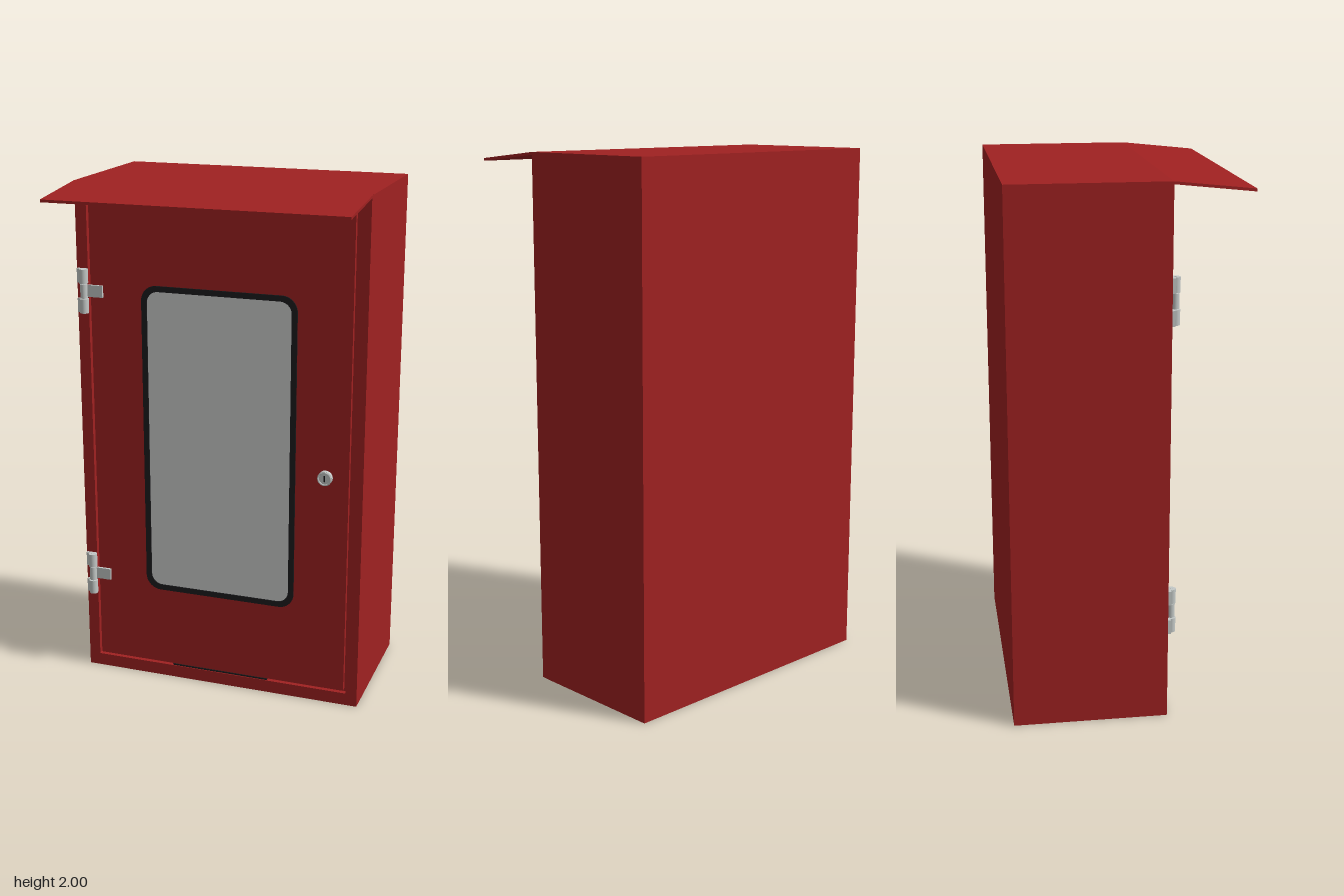
import * as THREE from 'three';

const material = (name, color) => {
  const m = new THREE.MeshStandardMaterial({ color });
  m.name = name;
  return m;
};

function roundedRect(target, x0, y0, x1, y1, r) {
  target.moveTo(x0 + r, y0);
  target.lineTo(x1 - r, y0);
  target.absarc(x1 - r, y0 + r, r, -Math.PI / 2, 0);
  target.lineTo(x1, y1 - r);
  target.absarc(x1 - r, y1 - r, r, 0, Math.PI / 2);
  target.lineTo(x0 + r, y1);
  target.absarc(x0 + r, y1 - r, r, Math.PI / 2, Math.PI);
  target.lineTo(x0, y0 + r);
  target.absarc(x0 + r, y0 + r, r, Math.PI, Math.PI * 1.5);
  return target;
}

// Flat panel from z0 to z1; each rectangle is [x0, y0, x1, y1, radius]
function panel(outer, hole, z0, z1) {
  const shape = roundedRect(new THREE.Shape(), ...outer);
  if (hole) shape.holes.push(roundedRect(new THREE.Path(), ...hole));
  const geo = new THREE.ExtrudeGeometry(shape, { depth: z1 - z0, bevelEnabled: false, curveSegments: 8 });
  return geo.translate(0, 0, z0);
}

function box(x0, x1, y0, y1, z0, z1) {
  return new THREE.BoxGeometry(x1 - x0, y1 - y0, z1 - z0)
    .translate((x0 + x1) / 2, (y0 + y1) / 2, (z0 + z1) / 2);
}

export function createModel() {
  const red = material('red paint', 0xa02121);
  const black = material('black rubber', 0x1c1c1e);
  const glass = material('grey glass', 0xcfd1d0);
  const steel = material('steel', 0xc4c9c7);

  const model = new THREE.Group();
  model.name = 'cabinet';
  const add = (name, geo, mat, parent = model) => {
    const mesh = new THREE.Mesh(geo, mat);
    mesh.name = name;
    parent.add(mesh);
    return mesh;
  };

  const W = 0.57, back = -0.43, front = 0.145, inner = 0.125;

  // Housing with a front frame around the door
  add('housing', box(-W, W, 0, 2, back, inner), red);
  add('frontFrame', panel([-W, 0, W, 2, 0.001], [-0.525, 0.05, 0.525, 1.955, 0.003], inner, front), red);

  // Sloping rain canopy, profile drawn in z and y
  const profile = new THREE.Shape([
    [front, 2], [front, 1.99], [0.43, 1.96], [0.43, 1.97],
  ].map(([z, y]) => new THREE.Vector2(z, y)));
  const canopy = new THREE.ExtrudeGeometry(profile, { depth: 2 * W, bevelEnabled: false });
  canopy.translate(0, 0, -W).rotateY(-Math.PI / 2);
  add('canopy', canopy, red);

  // Door, separated from the frame by a narrow gap
  const opening = [-0.285, 0.405, 0.285, 1.6, 0.045];
  add('door', panel([-0.515, 0.06, 0.515, 1.945, 0.003], opening, inner, front), red);
  add('windowGlass', panel(opening, null, front - 0.004, front + 0.001), glass);
  add('windowSeal', panel([-0.307, 0.383, 0.307, 1.622, 0.06], opening, front, front + 0.005), black);
  add('drainSlot', box(-0.2, 0.2, 0.052, 0.058, inner, front), black);

  // Hinges on the door's -x edge
  for (const [name, y] of [['upperHinge', 1.585], ['lowerHinge', 0.418]]) {
    const hinge = new THREE.Group();
    hinge.name = name;
    hinge.position.set(-0.537, y, front);
    model.add(hinge);
    for (const s of [-1, 1]) {
      const lo = s < 0 ? -0.085 : 0.03;
      add('frameLeaf', box(-0.029, 0.012, lo, lo + 0.055, 0, 0.012), steel, hinge);
      add('outerKnuckle', new THREE.CylinderGeometry(0.017, 0.017, 0.055, 16)
        .translate(0, lo + 0.0275, 0.016), steel, hinge);
    }
    add('middleKnuckle', new THREE.CylinderGeometry(0.014, 0.014, 0.054, 16)
      .translate(0, 0, 0.016), steel, hinge);
    add('doorLeaf', box(0, 0.073, -0.023, 0.023, 0, 0.01), steel, hinge);
    add('hingePin', new THREE.CylinderGeometry(0.006, 0.006, 0.172, 12)
      .translate(0, 0, 0.016), steel, hinge);
  }

  // Round lock with a key slot
  const lock = new THREE.Group();
  lock.name = 'lock';
  lock.position.set(0.425, 0.94, front);
  model.add(lock);
  add('lockBody', new THREE.CylinderGeometry(0.028, 0.028, 0.018, 24)
    .rotateX(Math.PI / 2).translate(0, 0, 0.009), steel, lock);
  add('lockRing', new THREE.TorusGeometry(0.024, 0.003, 6, 24).translate(0, 0, 0.018), steel, lock);
  add('keySlot', box(-0.003, 0.003, -0.012, 0.012, 0.017, 0.019), black, lock);

  return model;
}
